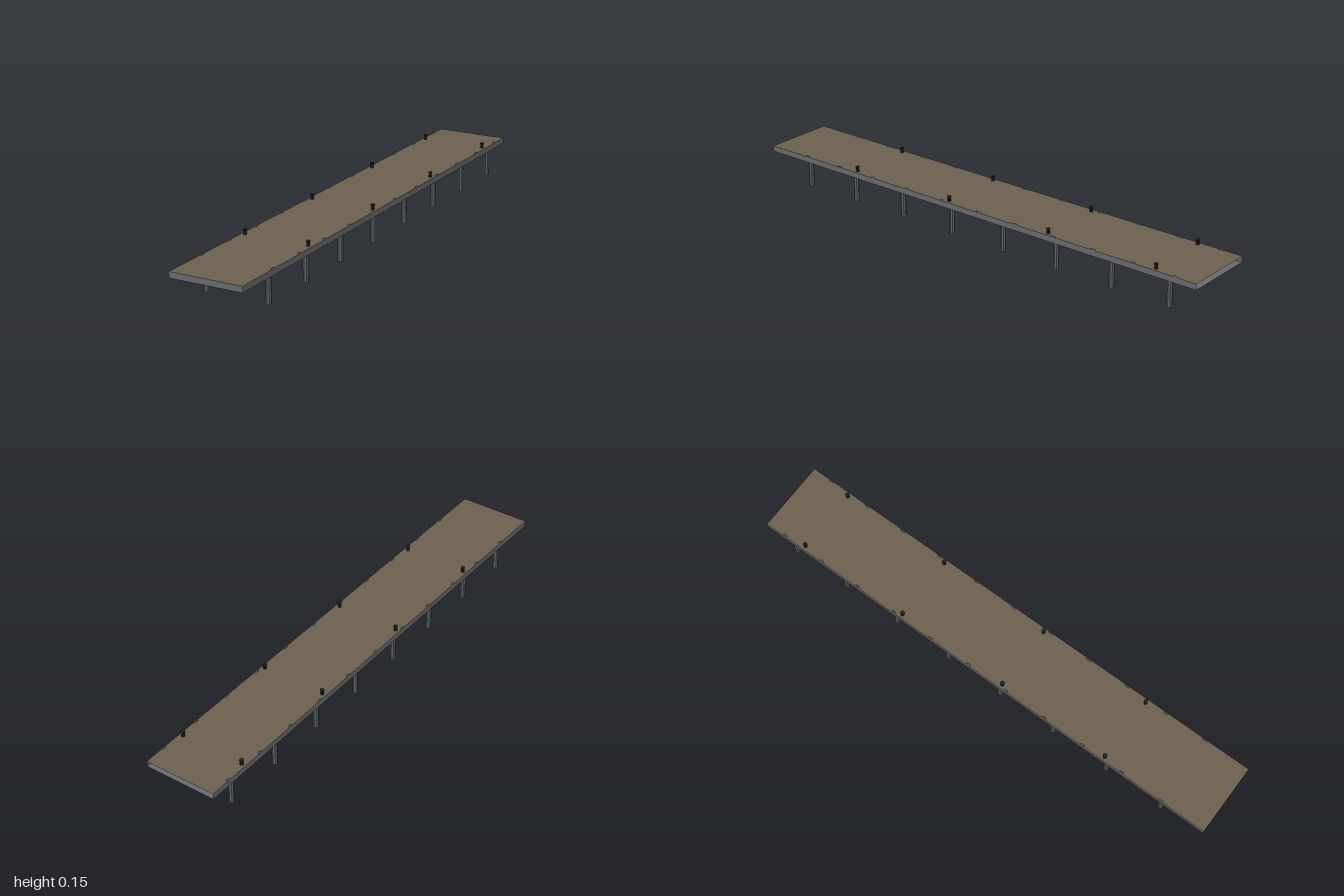
import * as THREE from 'three';

const material = (name, color, extra = {}) => {
  const m = new THREE.MeshStandardMaterial({ color, ...extra });
  m.name = name;
  return m;
};

export function createModel() {
  const planks = material('brownDeck', 0x6e6150, { side: THREE.DoubleSide });
  const concrete = material('greyConcrete', 0x686b6e, { side: THREE.DoubleSide });
  const pileGrey = material('pileGrey', 0x5c5f62, { flatShading: true });
  const iron = material('blackIron', 0x232323, { flatShading: true });

  const pier = new THREE.Group();
  pier.name = 'pier';

  const add = (name, geometry, mat, x, y, z) => {
    const mesh = new THREE.Mesh(geometry, mat);
    mesh.name = name;
    mesh.position.set(x, y, z);
    pier.add(mesh);
    return mesh;
  };

  // Hollow deck shell: brown top, grey sides, open at the back end
  const shell = new THREE.BoxGeometry(0.287, 0.023, 2);
  shell.setIndex(Array.from(shell.index.array).slice(0, 30));
  shell.groups.pop();
  add('deck', shell, [concrete, concrete, planks, concrete, concrete], 0, 0.1165, 0);

  const pile = new THREE.CylinderGeometry(0.0105, 0.0105, 0.105, 8);

  // Mooring post with a flared foot and a wide cap
  const bollard = new THREE.LatheGeometry([
    [0, 0], [0.007, 0], [0.0055, 0.013], [0.0082, 0.017], [0.0082, 0.02], [0, 0.0205],
  ].map(([r, y]) => new THREE.Vector2(r, y)), 8);

  // Small mooring ring standing in the deck edge
  const ring = new THREE.TorusGeometry(0.0105, 0.0033, 6, 12);
  ring.rotateY(Math.PI / 2);

  for (const s of [-1, 1]) {
    const side = s > 0 ? 'left' : 'right';
    for (let i = 0; i < 8; i++)
      add(`${side}Pile${i + 1}`, pile, pileGrey, s * 0.124, 0.0525, -0.883 + i * 0.242);
    for (let i = 0; i < 4; i++)
      add(`${side}Bollard${i + 1}`, bollard, iron, s * 0.1275, 0.128, -0.826 + i * 0.461);
    for (let i = 0; i < 11; i++)
      add(`${side}Ring${i + 1}`, ring, concrete, s * 0.14, 0.1192, -0.914 + i * 0.1725);
  }
  return pier;
}
